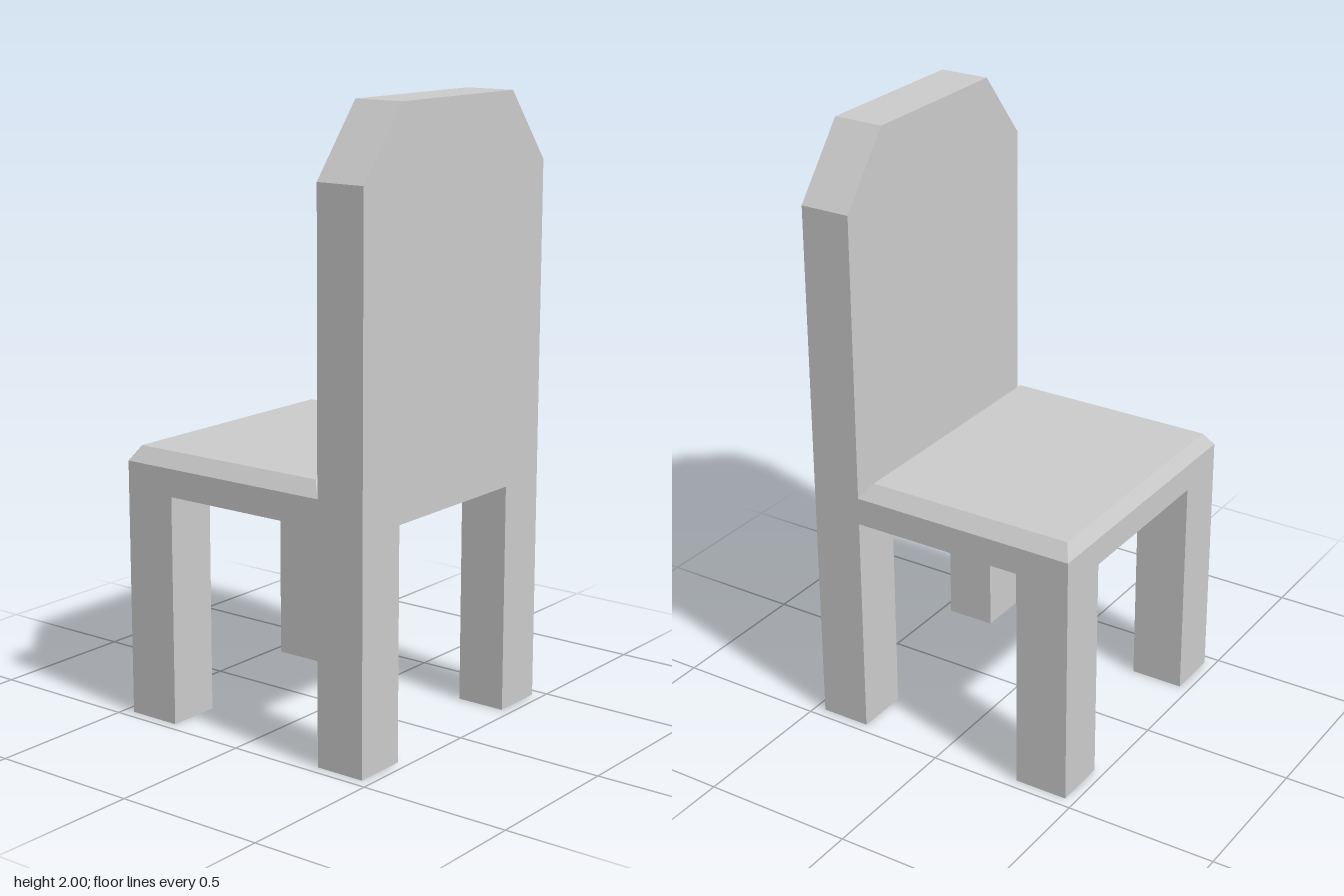
import * as THREE from 'three';

const material = new THREE.MeshStandardMaterial({ color: 0xcccccc, flatShading: true });

const HALF = 0.465;      // half depth of the chair
const INNER = 0.285;     // inner face of the legs
const SEAT_BOTTOM = 0.75, SEAT_EDGE = 0.84, SEAT_TOP = 0.887;
const BACK_X = 0.297;    // where the seat meets the backrest

function addMesh(group, name, geometry) {
  const mesh = new THREE.Mesh(geometry, material);
  mesh.name = name;
  group.add(mesh);
  return mesh;
}

// Slab whose upper layer tapers inward to form a bevelled top on all four sides
function seatGeometry() {
  const width = BACK_X + HALF;
  const geometry = new THREE.BoxGeometry(width, 2, HALF * 2, 1, 2, 1);
  const p = geometry.attributes.position;
  const heights = [SEAT_BOTTOM, SEAT_EDGE, SEAT_TOP];
  for (let i = 0; i < p.count; i++) {
    const level = Math.round(p.getY(i)) + 1;
    let x = p.getX(i) + (BACK_X - HALF) / 2;
    let z = p.getZ(i);
    if (level === 2) {
      x = x < 0 ? -0.44 : 0.262;
      z = Math.sign(z) * 0.428;
    }
    p.setXYZ(i, x, heights[level], z);
  }
  geometry.computeVertexNormals();
  return geometry;
}

// Backrest and its two legs as one plate with clipped upper corners
function backGeometry() {
  const half = [[INNER, 0], [HALF, 0], [HALF, 1.775], [INNER, 2]];
  const mirrored = half.map(([z, y]) => [-z, y]).reverse();
  const outline = [[INNER, SEAT_BOTTOM], ...half, ...mirrored, [-INNER, SEAT_BOTTOM]];
  const shape = new THREE.Shape(outline.map(([z, y]) => new THREE.Vector2(z, y)));
  return new THREE.ExtrudeGeometry(shape, { depth: HALF - BACK_X, bevelEnabled: false })
    .rotateY(Math.PI / 2)
    .translate(BACK_X, 0, 0);
}

export function createModel() {
  const chair = new THREE.Group();
  chair.name = 'chair';

  addMesh(chair, 'seat', seatGeometry());
  addMesh(chair, 'backrestWithLegs', backGeometry());

  // Free-standing legs under the open edge of the seat
  const size = HALF - INNER, centre = (HALF + INNER) / 2;
  for (const side of [-1, 1]) {
    const leg = addMesh(chair, side > 0 ? 'seatLegFront' : 'seatLegBack',
      new THREE.BoxGeometry(size, SEAT_BOTTOM, size));
    leg.position.set(-centre, SEAT_BOTTOM / 2, side * centre);
  }
  return chair;
}
